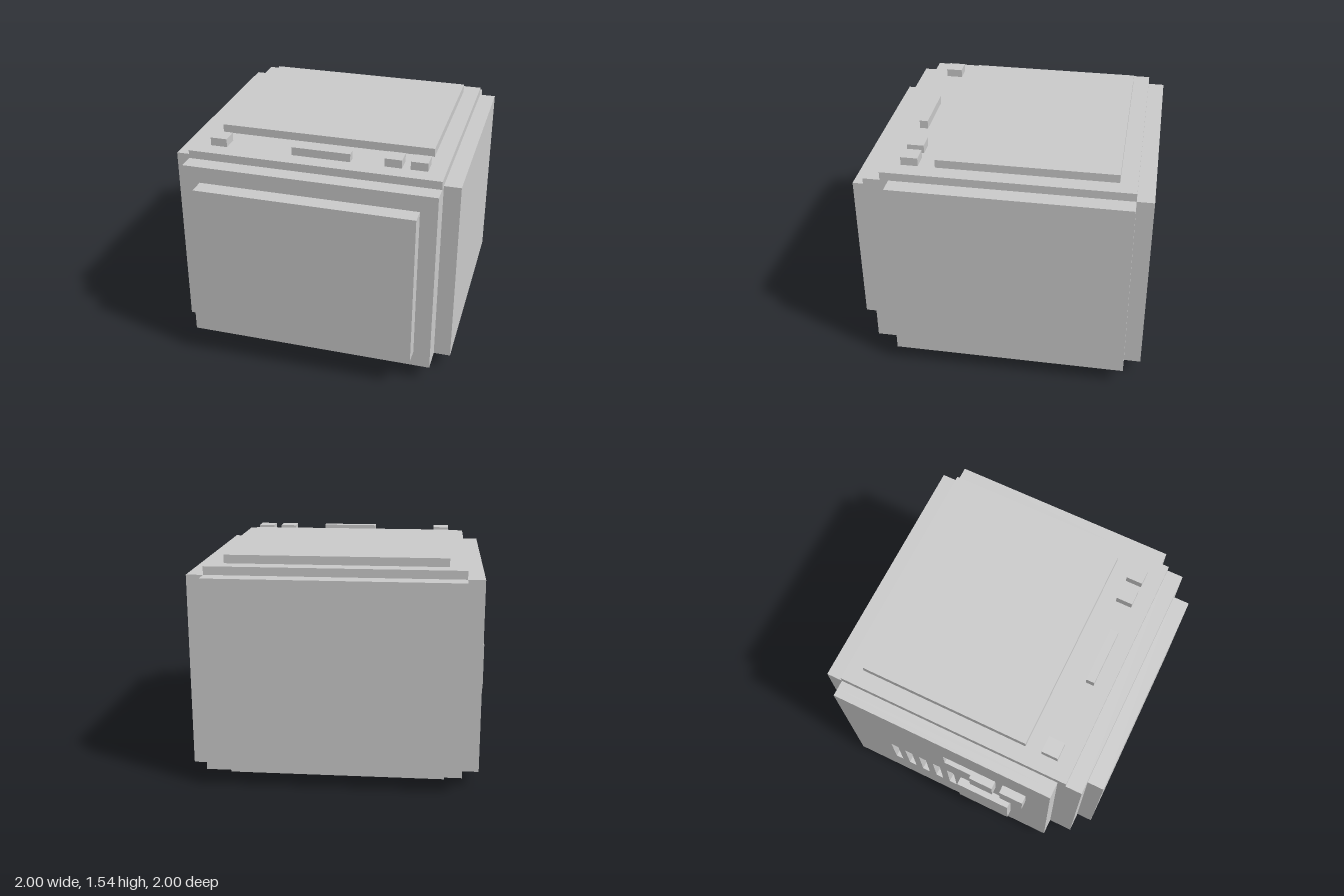
import * as THREE from 'three';

const U = 2 / 35; // the design grid: every edge falls on a whole cell
const material = new THREE.MeshStandardMaterial({ color: 0xcccccc, flatShading: true });

export function createModel() {
  const group = new THREE.Group();
  group.name = 'boxyMonitor';

  const add = (name, geometry) => {
    const mesh = new THREE.Mesh(geometry, material);
    mesh.name = name;
    group.add(mesh);
    return mesh;
  };

  // Box given by its extents in cells: x 0..35, y 0..27, z 0..35
  const box = (name, [x0, x1], [y0, y1], [z0, z1]) => {
    const geometry = new THREE.BoxGeometry((x1 - x0) * U, (y1 - y0) * U, (z1 - z0) * U);
    add(name, geometry).position.set(
      ((x0 + x1) / 2 - 17.5) * U, ((y0 + y1) / 2) * U, ((z0 + z1) / 2 - 17.5) * U);
  };

  // Case
  box('body', [3, 33], [2, 26], [2, 31]);
  box('frontFrame', [3, 33], [2, 25], [31, 33]);
  box('backPanel', [3, 33], [2, 25], [0, 2]);
  box('leftPanel', [33, 35], [2, 25], [2, 30]);
  box('rightPanelInner', [2, 3], [2, 25], [2, 30]);
  box('screen', [5, 31], [4, 23], [33, 35]);
  box('base', [5, 31], [0, 2], [4, 29]);

  // Top plate and controls
  box('topPlate', [5, 31], [26, 27], [4, 25]);
  for (const x of [5, 26, 29]) box('topButton', [x, x + 2], [26, 27], [27, 29]);
  box('topBar', [15, 22], [26, 27], [28, 29]);

  // Outer layer of the right panel, cut through by the slider slot and vents
  const rectangle = (path, z0, z1, y0, y1) => path.setFromPoints(
    [[z0, y0], [z1, y0], [z1, y1], [z0, y1]]
      .map(([z, y]) => new THREE.Vector2((z - 17.5) * U, y * U))).closePath() ?? path;
  const plate = new THREE.Shape();
  rectangle(plate, 2, 30, 2, 25);
  const cut = (...extents) => {
    const hole = new THREE.Path();
    rectangle(hole, ...extents);
    plate.holes.push(hole);
  };
  cut(16, 23, 17, 20);
  for (let i = 0; i < 5; i++) cut(8 + 2 * i, 9 + 2 * i, 7, 13);
  const plateGeometry = new THREE.ExtrudeGeometry(plate, { depth: U, bevelEnabled: false });
  plateGeometry.rotateY(-Math.PI / 2);
  add('rightPanelOuter', plateGeometry).position.x = (2 - 17.5) * U;

  // Right side controls
  box('slider', [0, 2], [17, 20], [20, 23]);
  box('sideButton', [0, 1], [17, 20], [24, 27]);
  box('sideCover', [0, 1], [7, 13], [18, 25]);

  return group;
}
